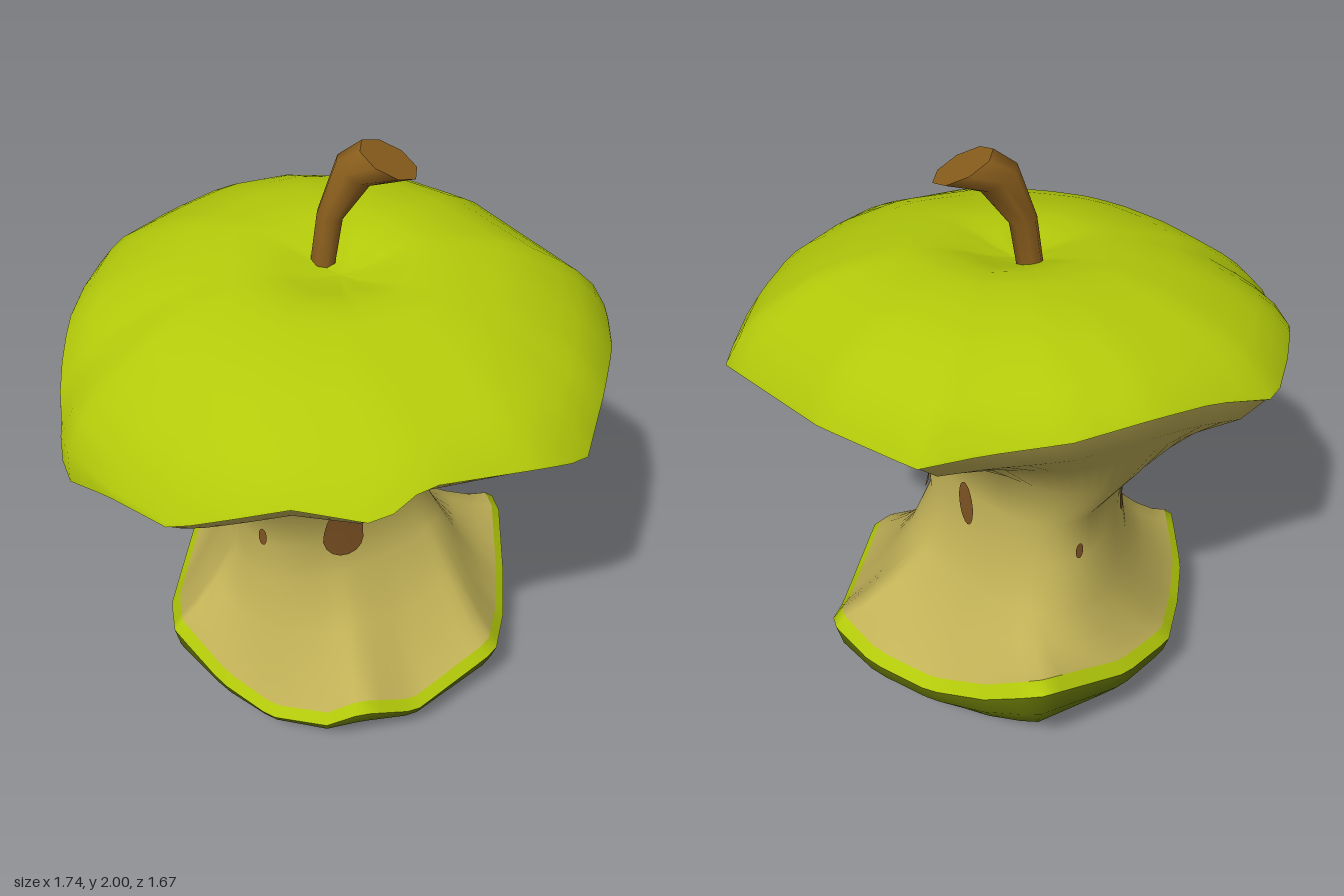
import * as THREE from 'three';

const N = 72;
const paint = (name, color) => {
  const material = new THREE.MeshStandardMaterial({ color });
  material.name = name;
  return material;
};
const skin = paint('skin green', 0xb2c90a);
const darkSkin = paint('shaded skin green', 0x6a7a08);
const flesh = paint('flesh cream', 0xc1b157);
const seedBrown = paint('seed brown', 0x7e5324);
const stemBrown = paint('stem brown', 0x8a5e1d);

// Bitten edges of the skin as [x, z, y], going round from the front by +x
const topRim = [
  [0.18, 0.83, 1.31], [0.3, 0.74, 1.38], [0.64, 0.58, 1.34], [0.77, 0.46, 1.28],
  [0.83, 0.2, 1.35], [0.87, -0.05, 1.34], [0.87, -0.31, 1.32], [0.47, -0.68, 1.41],
  [0.15, -0.84, 1.42], [-0.03, -0.79, 1.45], [-0.27, -0.75, 1.49], [-0.48, -0.64, 1.51],
  [-0.65, -0.5, 1.48], [-0.83, -0.36, 1.41], [-0.86, -0.15, 1.41], [-0.87, 0.03, 1.4],
  [-0.87, 0.2, 1.3], [-0.83, 0.43, 1.08], [-0.64, 0.62, 1.18], [-0.43, 0.77, 1.2],
  [-0.25, 0.81, 1.28], [-0.07, 0.81, 1.33],
];
const bottomRim = [
  [0.12, 0.56, 0.22], [0.3, 0.46, 0.14], [0.57, 0.23, 0.22], [0.6, 0, 0.17],
  [0.6, -0.2, 0.2], [0.57, -0.45, 0.36], [0.42, -0.53, 0.27], [0.2, -0.62, 0.26],
  [0, -0.7, 0.34], [-0.19, -0.76, 0.45], [-0.45, -0.5, 0.32], [-0.58, -0.28, 0.27],
  [-0.6, -0.05, 0.23], [-0.6, 0.12, 0.25], [-0.55, 0.32, 0.32], [-0.38, 0.42, 0.18],
  [-0.2, 0.5, 0.11], [0, 0.55, 0.14],
];
// Rings of the eaten core: y, left x, right x, back z, front z
const coreRings = [
  [1.03, -0.51, 0.35, -0.43, 0.46], [0.88, -0.37, 0.29, -0.42, 0.29],
  [0.72, -0.37, 0.28, -0.43, 0.29], [0.56, -0.4, 0.35, -0.5, 0.28],
];

const TAU = Math.PI * 2;
const turn = (a) => ((a % TAU) + TAU) % TAU;

// Point of a bitten edge at an angle, on the straight run between two corners
function edgeAt(rim, angle) {
  for (let i = 0; i < rim.length; i++) {
    const p = rim[i], q = rim[(i + 1) % rim.length];
    const start = Math.atan2(p[0], p[1]);
    const span = turn(Math.atan2(q[0], q[1]) - start), off = turn(angle - start);
    if (off <= span) {
      const sx = Math.sin(angle), cz = Math.cos(angle);
      const f = p[0] * cz - p[1] * sx, g = q[0] * cz - q[1] * sx;
      const t = f === g ? 0 : f / (f - g);
      return new THREE.Vector3(p[0] + (q[0] - p[0]) * t, p[2] + (q[2] - p[2]) * t, p[1] + (q[1] - p[1]) * t);
    }
  }
  return new THREE.Vector3(rim[0][0], rim[0][2], rim[0][1]);
}

// Core section: deeper on the left side, narrowing to the right
function ringPoint([y, l, r, b, f], a, grow = 0) {
  const u = Math.sin(a);
  return new THREE.Vector3(
    (l + r) / 2 + ((r - l) / 2 + grow) * u, y,
    (b + f) / 2 + ((f - b) / 2 + grow) * Math.cos(a) * (1 - 0.45 * u) / 1.07);
}

// Closed surface through rows of points, ordered from top to bottom
function loft(rows) {
  const n = rows[0].length, index = [];
  for (let i = 0; i < rows.length - 1; i++) {
    for (let j = 0; j < n; j++) {
      const k = (j + 1) % n, a = i * n + j, b = i * n + k, c = a + n, d = b + n;
      index.push(a, c, d, a, d, b);
    }
  }
  const geo = new THREE.BufferGeometry().setFromPoints(rows.flat());
  geo.setIndex(index);
  geo.computeVertexNormals();
  return geo;
}

// Patch lying on the core at an angle and height
function seedGeometry(angle, height, w, h, taper) {
  const geo = new THREE.CircleGeometry(1, 20), pos = geo.attributes.position;
  for (let i = 0; i < pos.count; i++) {
    const u = pos.getX(i), v = pos.getY(i);
    const y = height + (v * h) / 2;
    let k = 0;
    while (k < coreRings.length - 2 && y < coreRings[k + 1][0]) k++;
    const p = coreRings[k], q = coreRings[k + 1], t = (p[0] - y) / (p[0] - q[0]);
    const ring = p.map((value, m) => value + (q[m] - value) * t);
    const spot = ringPoint(ring, angle + (u * w * (1 - taper * v)) / 2 / 0.34, 0.008);
    pos.setXYZ(i, spot.x, spot.y, spot.z);
  }
  geo.computeVertexNormals();
  return geo;
}

export function createModel() {
  const model = new THREE.Group();
  const add = (name, geo, material) => {
    const mesh = new THREE.Mesh(geo, material);
    mesh.name = name;
    model.add(mesh);
    return mesh;
  };
  const angles = Array.from({ length: N }, (_, j) => (j / N) * TAU);
  const row = (make) => angles.map(make);
  const top = row((a) => edgeAt(topRim, a));
  const bottom = row((a) => edgeAt(bottomRim, a));

  // Upper skin: [share of rim radius, rise from shoulder to crown], tilted to the front
  const crown = [[0, 0.8], [0.08, 0.83], [0.17, 0.91], [0.27, 0.98], [0.4, 0.98], [0.57, 0.87],
    [0.69, 0.74], [0.8, 0.56], [0.87, 0.43], [0.94, 0.26], [0.995, 0.03]];
  const upperRows = crown.map(([k, g]) => top.map((p) => {
    const shoulder = THREE.MathUtils.lerp(1.36, Math.max(p.y, 1.2), k);
    return new THREE.Vector3(p.x * k, shoulder + (1.66 - shoulder) * g - 0.13 * p.z * k * g, p.z * k);
  }));
  add('upperSkin', loft([...upperRows, top]), skin);

  // Cut thickness of the skin
  const topInner = top.map((p) => new THREE.Vector3(p.x * 0.985, p.y - 0.008, p.z * 0.985));
  const bottomInner = bottom.map((p) => new THREE.Vector3(p.x * 0.95, p.y + 0.035, p.z * 0.95));
  add('upperSkinEdge', loft([top, topInner]), skin);
  add('lowerSkinEdge', loft([bottomInner, bottom]), skin);

  // Flesh, flaring from the waist to both edges
  const rings = coreRings.map((ring) => row((a) => ringPoint(ring, a)));
  const blend = (from, to, t, sag) => from.map((p, j) => {
    const v = p.clone().lerp(to[j], t);
    v.y += sag;
    return v;
  });
  add('flesh', loft([
    topInner,
    blend(topInner, rings[0], 0.2, -0.025),
    blend(topInner, rings[0], 0.6, 0.015),
    ...rings,
    blend(rings[3], bottomInner, 0.4, -0.02),
    blend(rings[3], bottomInner, 0.75, -0.02),
    bottomInner,
  ]), flesh);

  // Lower skin: [share of rim radius, share of rim height, hollow]
  const base = [[1, 1, 0], [0.97, 0.75, 0], [0.87, 0.46, 0], [0.75, 0.27, 0], [0.58, 0.09, 0],
    [0.44, 0.01, 0], [0.3, 0, 0.012], [0, 0, 0.045]];
  add('lowerSkin', loft(base.map(([k, g, h]) => bottom.map((p) =>
    new THREE.Vector3(p.x * k, p.y * g + h, p.z * k)))), darkSkin);

  // Blossom end underneath
  const blossom = add('blossomEnd', new THREE.CircleGeometry(0.1, 12), seedBrown);
  blossom.rotation.x = Math.PI / 2;
  blossom.position.set(0, 0.021, -0.03);

  // Seeds: angle, height, width, length, taper
  [[0.23, 0.76, 0.13, 0.25, 0.25], [-0.6, 0.75, 0.035, 0.07, 0], [1.54, 0.75, 0.035, 0.13, 0],
    [2.65, 0.83, 0.06, 0.17, 0], [-1.6, 0.78, 0.06, 0.18, 0.1], [-2.4, 0.76, 0.03, 0.06, 0],
  ].forEach((s, i) => add('seed' + (i + 1), seedGeometry(...s), seedBrown));

  // Stem: x, y, z, radius, tilt of each ring
  const stemRows = [[0.14, 1.955, -0.09, 0.102, 0.46], [0.035, 1.92, -0.08, 0.068, 0.63],
    [-0.035, 1.775, -0.065, 0.044, 0.15], [-0.06, 1.59, -0.06, 0.042, 0]].map(([x, y, z, r, tilt]) =>
    Array.from({ length: 8 }, (_, j) => {
      const a = ((j + 0.5) / 8) * TAU, u = r * Math.sin(a);
      return new THREE.Vector3(x + u * Math.cos(tilt), y - u * Math.sin(tilt), z + r * Math.cos(a));
    }));
  add('stem', loft(stemRows), stemBrown);
  const tip = stemRows[0].map(() => new THREE.Vector3(0.14, 1.955, -0.09));
  add('stemEnd', loft([tip, stemRows[0]]), stemBrown);

  return model;
}
